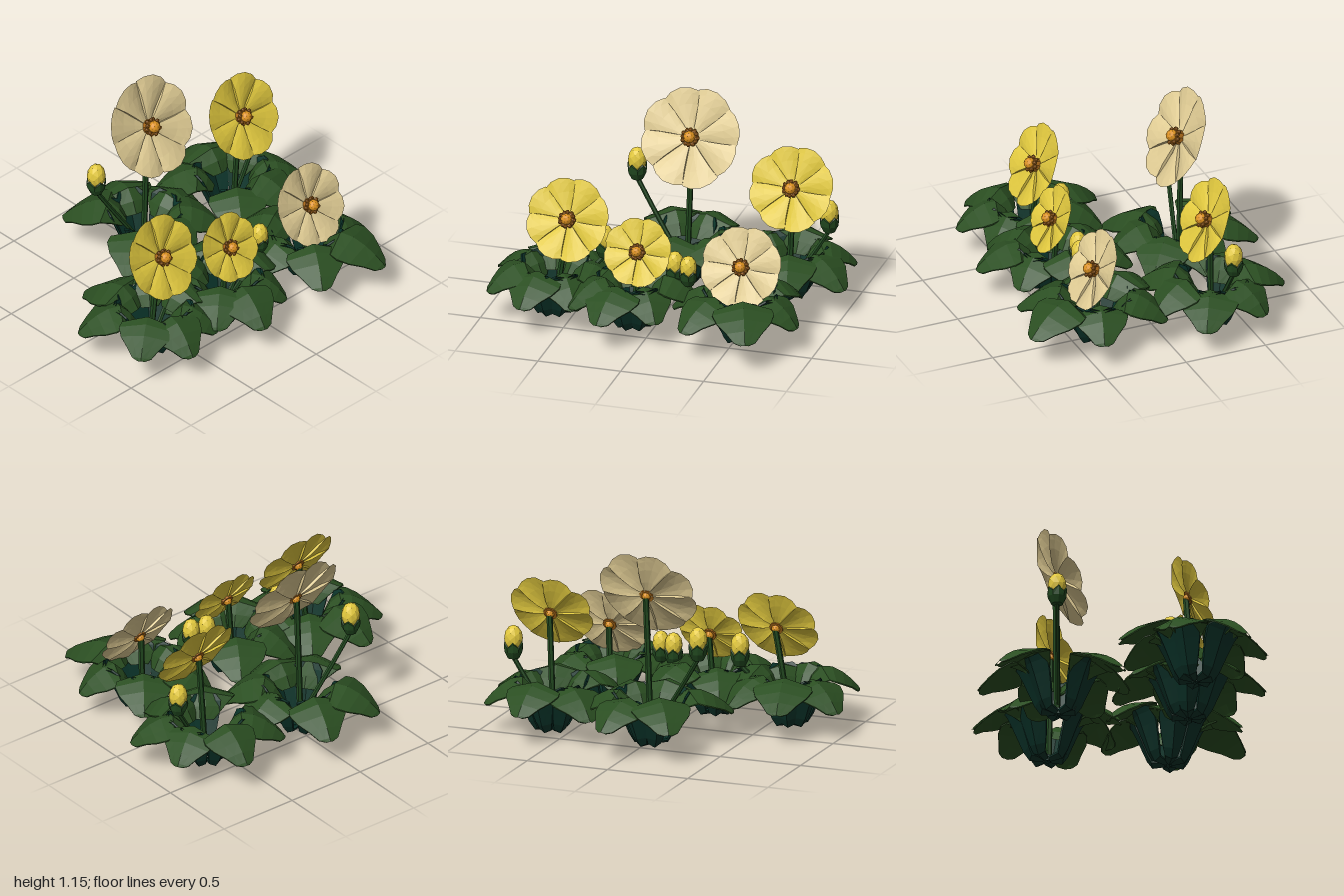
import * as THREE from 'three';

const mat = (name, color, side = THREE.FrontSide) => {
  const m = new THREE.MeshStandardMaterial({ color, side, flatShading: true });
  m.name = name;
  return m;
};

// Skin a list of equal-length closed rings into a faceted surface
function loft(rows) {
  const pos = [], n = rows[0].length;
  for (let i = 0; i + 1 < rows.length; i++) {
    for (let j = 0; j < n; j++) {
      const k = (j + 1) % n;
      const a = rows[i][j], b = rows[i][k], c = rows[i + 1][k], d = rows[i + 1][j];
      pos.push(...a, ...b, ...c, ...a, ...c, ...d);
    }
  }
  const g = new THREE.BufferGeometry();
  g.setAttribute('position', new THREE.Float32BufferAttribute(pos, 3));
  g.computeVertexNormals();
  return g;
}

// Thick folded leaf section; profile entries are [reach, height, halfWidth]
function leafGeometry(profile, fold, thick) {
  const us = [-1, -0.5, 0, 0.5, 1];
  const rows = profile.map(([r, y, w], i) => {
    const p = profile[Math.max(i - 1, 0)], q = profile[Math.min(i + 1, profile.length - 1)];
    const len = Math.hypot(q[0] - p[0], q[1] - p[1]) || 1;
    const nx = -(q[1] - p[1]) / len, ny = (q[0] - p[0]) / len;
    const point = (u, s) => {
      const off = s * thick * (1 - 0.5 * Math.abs(u)) - fold * w * Math.abs(u);
      return [r + nx * off, y + ny * off, u * w];
    };
    return [...us.map(u => point(u, 1)), ...us.slice().reverse().map(u => point(u, -1))];
  });
  return loft(rows);
}

const bladeGeo = leafGeometry([
  [0.11, 0.2, 0.05], [0.15, 0.265, 0.11], [0.21, 0.318, 0.16], [0.28, 0.31, 0.172],
  [0.35, 0.275, 0.15], [0.41, 0.23, 0.1], [0.455, 0.185, 0.06], [0.467, 0.168, 0.022],
], 0.27, 0.008);
const stalkGeo = leafGeometry([
  [0.02, 0, 0.02], [0.095, 0.004, 0.038], [0.125, 0.05, 0.052], [0.155, 0.12, 0.068],
  [0.185, 0.19, 0.082], [0.215, 0.255, 0.09], [0.235, 0.285, 0.06],
], -0.45, 0.012);

// Unit flower disc facing +z: eight petals, each stepping over the next
function corollaGeometry() {
  const us = [-1, -0.55, 0, 0.55, 1];
  const ring = ([r, z, step, wave]) => {
    const pts = [];
    for (let p = 0; p < 8; p++) {
      for (const u of us) {
        const a = (p + u / 2) * Math.PI / 4 + 0.1 * r;
        const rr = r * (1 - 0.07 * r * r * u * u + 0.015 * r * Math.sin(p * 2.4));
        pts.push([rr * Math.cos(a), rr * Math.sin(a), z + step * u + wave * (0.4 - u * u)]);
      }
    }
    return pts;
  };
  return loft([[0.98, 0, 0.002, 0.07], [0.85, -0.015, 0.012, 0.07], [0.65, -0.04, 0.03, 0.05],
    [0.35, -0.075, 0.03, 0.03], [0.12, -0.09, 0.01, 0], [0.001, -0.09, 0, 0]]
    .reverse().map(ring).map(r => r.reverse()));
}

// Bud cup with a pointed rim
function budCupGeometry() {
  return loft([[0.004, 0, 0], [0.034, 0.004, 0], [0.054, 0.045, 0], [0.058, 0.085, 0.014], [0.05, 0.092, 0.016]]
    .map(([r, y, peak]) => Array.from({ length: 10 }, (_, i) => {
      const a = i * Math.PI / 5;
      return [r * Math.cos(a), y + (i % 2 ? peak : -peak), -r * Math.sin(a)];
    })));
}

const corollaGeo = corollaGeometry();
const budCupGeo = budCupGeometry();

export function createModel() {
  const model = new THREE.Group();
  model.name = 'flowerBed';

  const M = {
    leaf: mat('leaf green', 0x2b4f22),
    stalk: mat('deep teal', 0x0a3329, THREE.DoubleSide),
    stem: mat('stem green', 0x21481f),
    cream: mat('cream petal', 0xe0cc94, THREE.DoubleSide),
    yellow: mat('yellow petal', 0xdfc73e, THREE.DoubleSide),
    bud: mat('bud yellow', 0xe3c93e),
    orange: mat('orange centre', 0xda901f),
    stamen: mat('brown stamen', 0xa8681a),
  };

  const add = (parent, name, geo, material, x = 0, y = 0, z = 0) => {
    const m = new THREE.Mesh(geo, material);
    m.name = name;
    m.position.set(x, y, z);
    parent.add(m);
    return m;
  };

  const stem = (parent, name, from, to, bend, radius) => {
    const a = new THREE.Vector3(...from), b = new THREE.Vector3(...to);
    const mid = a.clone().lerp(b, 0.5).add(new THREE.Vector3(0, bend, 0));
    const curve = new THREE.QuadraticBezierCurve3(a, mid, b);
    add(parent, name, new THREE.TubeGeometry(curve, 5, radius, 6), M.stem);
  };

  // Flower head: petal disc, stamen ring, centre and rear receptacle
  function flower(parent, [x, y, z], R, petalMat) {
    const g = new THREE.Group();
    g.name = 'flower';
    g.position.set(x, y, z);
    g.rotation.x = -0.48;
    parent.add(g);
    const petals = add(g, 'petals', corollaGeo, petalMat);
    petals.rotation.z = 0.25;
    petals.scale.setScalar(R * 1.02);
    const c = 0.036 + R * 0.065;
    for (let i = 0; i < 12; i++) {
      const a = i * Math.PI / 6;
      add(g, 'stamen', new THREE.IcosahedronGeometry(c * 0.26, 0), M.stamen,
        Math.cos(a) * c * 0.8, Math.sin(a) * c * 0.8, 0.008 + (i % 2) * 0.012);
    }
    const core = add(g, 'stamenCore', new THREE.CylinderGeometry(c * 0.75, c * 0.8, 0.05, 10), M.stamen, 0, 0, -0.005);
    core.rotation.x = Math.PI / 2;
    add(g, 'flowerCentre', new THREE.IcosahedronGeometry(c * 0.66, 1), M.orange, 0, 0, 0.026);
    add(g, 'receptacle', new THREE.IcosahedronGeometry(0.026, 1), M.orange, 0, 0, -0.03);
  }

  // Bud: yellow egg in a green cup; y is the underside
  function bud(parent, [x, y, z], s) {
    const g = new THREE.Group();
    g.name = 'bud';
    g.position.set(x, y, z);
    g.scale.setScalar(s);
    parent.add(g);
    add(g, 'budCup', budCupGeo, M.stem);
    const egg = add(g, 'budTip', new THREE.IcosahedronGeometry(0.055, 1), M.bud, 0, 0.122, 0);
    egg.scale.y = 1.45;
  }

  // Plants: root position, leaf tips (x, z), flower and buds
  const plants = [
    { at: [-0.62, 0.29], petals: M.yellow, flower: [-0.54, 0.575, 0.285], R: 0.25,
      tips: [[-0.72, -0.18], [-0.38, -0.08], [-1, 0.06], [-0.95, 0.53], [-0.7, 0.7], [-0.4, 0.6], [-0.2, 0.3]],
      buds: [[-0.34, 0.33, 0.2, 1]] },
    { at: [-0.12, 0.35], petals: M.yellow, flower: [-0.09, 0.465, 0.375], R: 0.205,
      tips: [[0.12, -0.05], [-0.3, -0.02], [-0.5, 0.25], [-0.43, 0.62], [-0.21, 0.79], [0.1, 0.65], [0.28, 0.34]],
      buds: [[0.11, 0.27, 0.29, 0.95], [0.2, 0.27, 0.32, 0.92]] },
    { at: [0.53, 0.36], petals: M.cream, flower: [0.54, 0.455, 0.39], R: 0.245,
      tips: [[0.33, -0.03], [0.78, 0.02], [0.9, 0.47], [0.7, 0.84], [0.29, 0.75], [0.12, 0.36]],
      buds: [] },
    { at: [-0.03, -0.4], petals: M.cream, flower: [0, 0.885, -0.375], R: 0.3,
      tips: [[-0.3, -0.8], [0.1, -0.85], [-0.42, -0.1], [-0.05, 0.02], [0.31, -0.1], [0.4, -0.45]],
      buds: [[-0.35, 0.54, -0.47, 1]] },
    { at: [0.61, -0.34], petals: M.yellow, flower: [0.64, 0.685, -0.275], R: 0.255,
      tips: [[0.65, -0.77], [0.96, -0.52], [1, -0.13], [0.72, 0.08], [0.33, 0.04], [0.26, -0.63]],
      buds: [[0.84, 0.4, -0.37, 1]] },
  ];

  for (const p of plants) {
    const g = new THREE.Group();
    g.name = 'plant';
    model.add(g);
    const [px, pz] = p.at;
    // Rosette of leaves with dark folded stalks
    p.tips.forEach(([tx, tz], i) => {
      const dx = tx - px, dz = tz - pz, k = Math.hypot(dx, dz) / 0.469;
      const angle = Math.atan2(-dz, dx);
      const blade = add(g, 'leaf', bladeGeo, M.leaf, px, -(i % 3) * 0.012, pz);
      blade.rotation.y = angle;
      blade.scale.set(k, 1, 0.5 + 0.5 * k);
      const stalk = add(g, 'leafStalk', stalkGeo, M.stalk, px, 0, pz);
      stalk.rotation.y = angle;
    });
    const [fx, fy, fz] = p.flower;
    stem(g, 'flowerStem', [px, 0.03, pz * 0.5 + fz * 0.5 - 0.02], [fx, fy - 0.02, fz - 0.035], 0.03, 0.018);
    flower(g, p.flower, p.R, p.petals);
    for (const [x, y, z, s] of p.buds) {
      stem(g, 'budStem', [px, 0.05, pz], [x, y + 0.01, z], -0.02, 0.014);
      bud(g, [x, y, z], s);
    }
  }
  return model;
}
